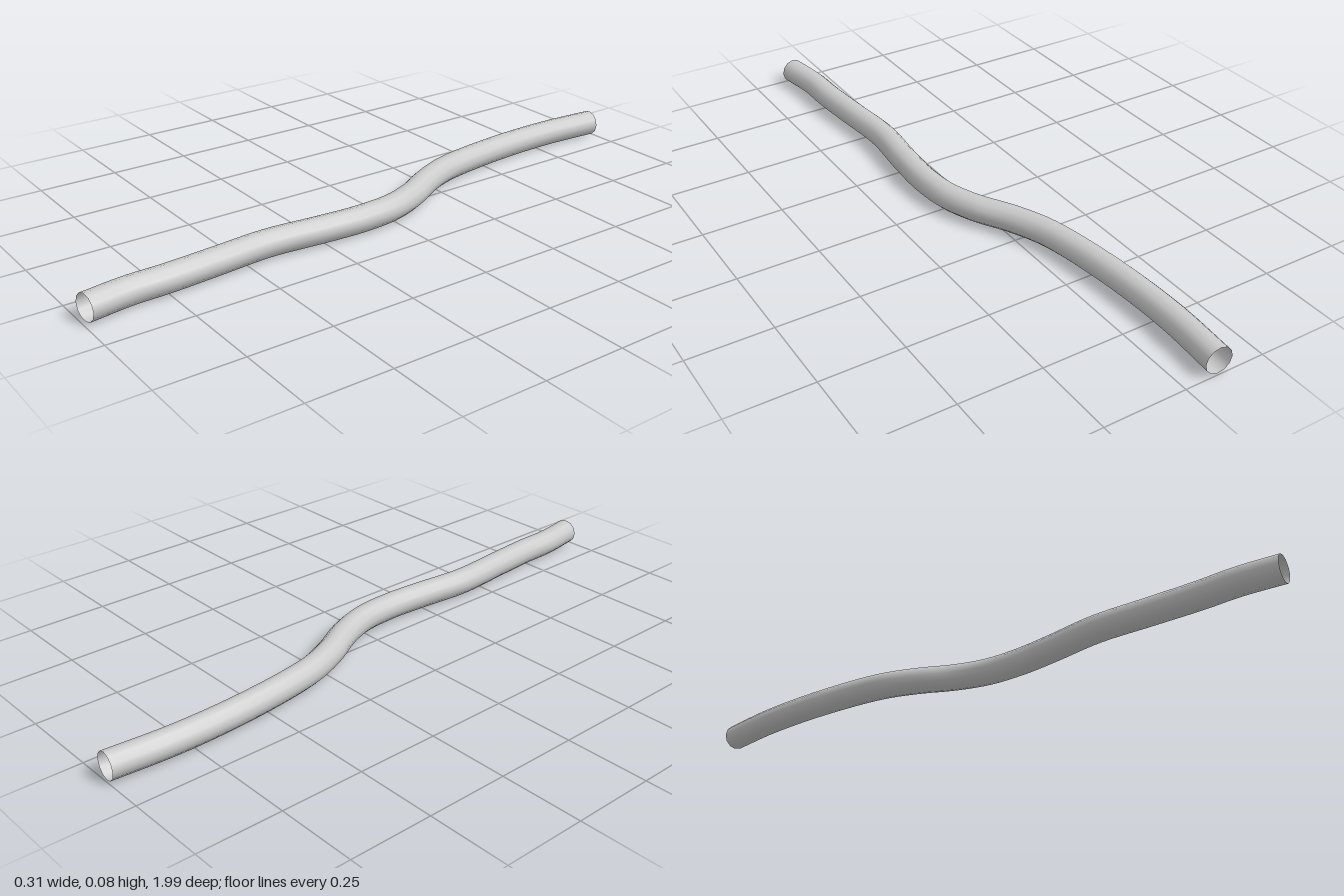
import * as THREE from 'three';

const RADIUS = 0.0405;
const SIDES = 12;

// Centre line on the ground plane as [x, z], from back to front
const PATH = [
  [-0.106, -0.995], [-0.118, -0.8], [-0.111, -0.6], [-0.086, -0.4], [-0.063, -0.3],
  [-0.02, -0.2], [0.037, -0.1], [0.074, 0], [0.086, 0.12], [0.08, 0.25], [0.066, 0.42],
  [0.081, 0.6], [0.093, 0.75], [0.096, 0.86], [0.115, 0.988],
];

export function createModel() {
  const group = new THREE.Group();
  group.name = 'bentPipe';

  const curve = new THREE.CatmullRomCurve3(
    PATH.map(([x, z]) => new THREE.Vector3(x, RADIUS + 0.0015, z)));

  // Thin open-ended hose, visible inside and out
  const hose = new THREE.Mesh(
    new THREE.TubeGeometry(curve, 72, RADIUS, SIDES, false),
    new THREE.MeshStandardMaterial({ color: 0xcccccc, side: THREE.DoubleSide }));
  hose.name = 'hose';
  group.add(hose);
  return group;
}
